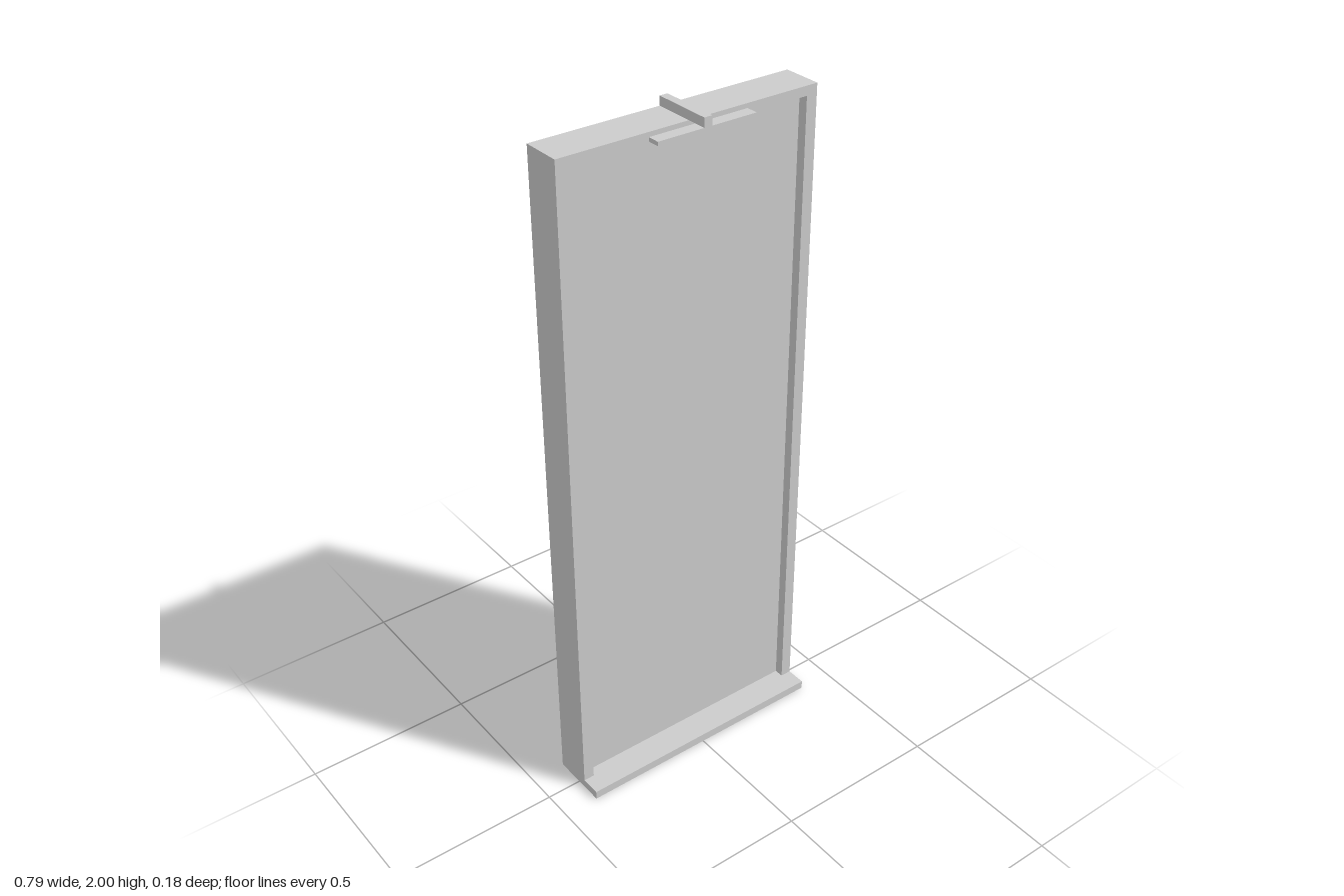
import * as THREE from 'three';

const material = new THREE.MeshStandardMaterial({ color: 0xcccccc, flatShading: true });

// Box given by its minimum and maximum corners
function box(name, [x0, y0, z0], [x1, y1, z1]) {
  const geometry = new THREE.BoxGeometry(x1 - x0, y1 - y0, z1 - z0);
  geometry.translate((x0 + x1) / 2, (y0 + y1) / 2, (z0 + z1) / 2);
  const mesh = new THREE.Mesh(geometry, material);
  mesh.name = name;
  return mesh;
}

function rectangle(PathType, x, y0, y1) {
  return new PathType([
    new THREE.Vector2(-x, y0), new THREE.Vector2(x, y0),
    new THREE.Vector2(x, y1), new THREE.Vector2(-x, y1),
  ]);
}

export function createModel() {
  const group = new THREE.Group();
  group.name = 'framedPanel';

  const halfWidth = 0.394, height = 1.974, lipHeight = 0.026;
  const back = -0.088, recess = 0, face = 0.028, front = 0.088;

  // Solid panel behind the recess
  group.add(box('backPanel', [-halfWidth, 0, back], [halfWidth, height, recess]));

  // Raised border around the recess
  const outline = rectangle(THREE.Shape, halfWidth, 0, height);
  outline.holes.push(rectangle(THREE.Path, 0.361, lipHeight, 1.947));
  const frame = new THREE.Mesh(
    new THREE.ExtrudeGeometry(outline, { depth: face - recess, bevelEnabled: false }), material);
  frame.position.z = recess;
  frame.name = 'frame';
  group.add(frame);

  // Ledge along the bottom
  group.add(box('bottomLedge', [-halfWidth, 0, face], [halfWidth, lipHeight, front]));

  // Arm over the top, carrying a thin crossbar in front of the panel
  group.add(box('topArm', [-0.012, height, back], [0.012, 2, front]));
  group.add(box('crossbar', [-0.148, 1.963, 0.053], [0.148, height, front]));

  return group;
}
